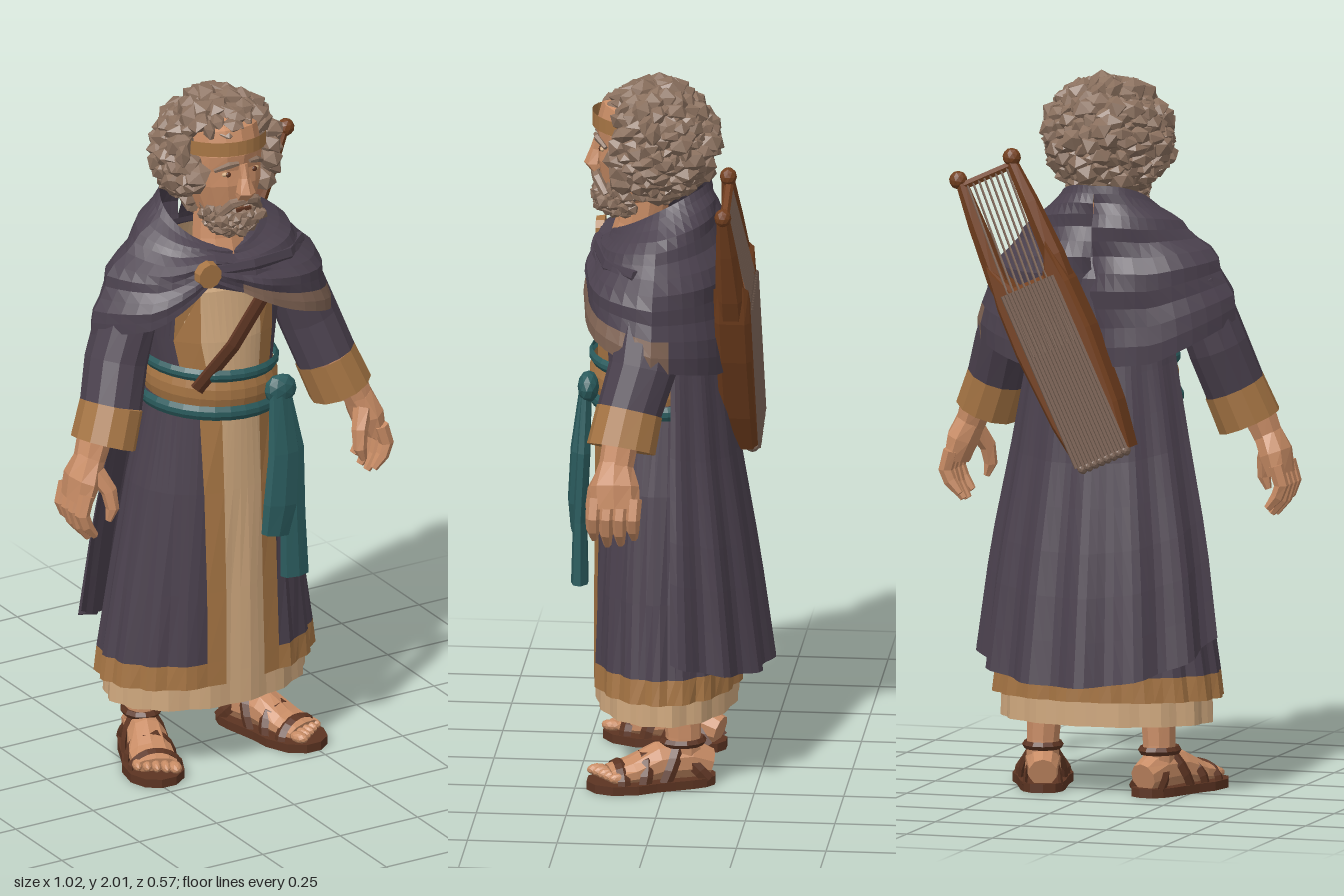
import * as THREE from 'three';
import { mergeGeometries } from 'three/addons/utils/BufferGeometryUtils.js';

const mat = (name, color) => {
  const m = new THREE.MeshStandardMaterial({ color, flatShading: true, side: THREE.DoubleSide });
  m.name = name;
  return m;
};
const M = {
  cloak: mat('dark purple cloth', 0x4b414e), trim: mat('ochre trim', 0xa67544),
  linen: mat('cream linen', 0xcfa87e), teal: mat('teal cloth', 0x2b5c5e),
  skin: mat('skin', 0xc88c65), hair: mat('brown grey hair', 0x8a705e),
  wood: mat('lyre wood', 0x74401f), string: mat('string grey', 0x80685a),
  leather: mat('dark leather', 0x5c3422), lining: mat('lining', 0x7f6353),
};
const { sin, cos, PI, abs, asin } = Math;

// piecewise linear lookup: keys are [t, value...]; returns interpolated row
function at(keys, t) {
  let i = 0;
  while (i < keys.length - 2 && t > keys[i + 1][0]) i++;
  const a = keys[i], b = keys[i + 1];
  const f = Math.min(1, Math.max(0, (t - a[0]) / (b[0] - a[0])));
  return a.slice(1).map((v, k) => v + (b[k + 1] - v) * f);
}
// grid surface fn(i, j) -> [x, y, z]; pick(i, j) chooses a material per cell
function sheet(name, mats, nu, nv, fn, pick = () => 0) {
  mats = [].concat(mats);
  const pos = [], sets = mats.map(() => []);
  for (let j = 0; j <= nv; j++) for (let i = 0; i <= nu; i++) pos.push(...fn(i, j));
  for (let j = 0; j < nv; j++) for (let i = 0; i < nu; i++) {
    const a = j * (nu + 1) + i, b = a + nu + 1;
    sets[pick(i, j)].push(a, a + 1, b + 1, a, b + 1, b);
  }
  const g = new THREE.BufferGeometry();
  g.setAttribute('position', new THREE.Float32BufferAttribute(pos, 3));
  g.setIndex(sets.flat());
  let s = 0;
  sets.forEach((q, k) => { g.addGroup(s, q.length, k); s += q.length; });
  g.computeVertexNormals();
  const m = new THREE.Mesh(g, mats.length > 1 ? mats : mats[0]);
  m.name = name;
  return m;
}
// closed limb through points [x, y, z, sideRadius, forwardRadius]
function limb(name, m, pts, n = 8, ref = [0, 0, 1], capped = true) {
  const P = pts.map(p => new THREE.Vector3(p[0], p[1], p[2])), last = pts.length - 1;
  const rings = pts.map((p, i) => {
    const t = P[Math.min(i + 1, last)].clone().sub(P[Math.max(i - 1, 0)]).normalize();
    const f = new THREE.Vector3(...ref);
    f.addScaledVector(t, -f.dot(t)).normalize();
    return { c: P[i], f, s: t.clone().cross(f), a: p[3], b: p[4] ?? p[3] };
  });
  if (capped) { rings.unshift({ ...rings[0], a: 0, b: 0 }); rings.push({ ...rings[last + 1], a: 0, b: 0 }); }
  return sheet(name, m, n, rings.length - 1, (i, j) => {
    const r = rings[j], w = i / n * 2 * PI;
    return r.c.clone().addScaledVector(r.s, sin(w) * r.a).addScaledVector(r.f, cos(w) * r.b).toArray();
  });
}
let seed = 7;
const rnd = () => (seed = (seed * 16807) % 2147483647) / 2147483647;
// cluster of faceted curls on an ellipsoid
function curls(name, count, c, r, size, keep) {
  const list = [];
  for (let i = 0; i < count; i++) {
    const y = 1 - 2 * (i + 0.5) / count, q = Math.sqrt(1 - y * y), a = i * 2.39996, k = 0.94 + rnd() * 0.12;
    const p = [c[0] + k * r[0] * q * sin(a), c[1] + k * r[1] * y, c[2] + k * r[2] * q * cos(a)];
    if (!keep(...p)) continue;
    const s = size * (0.75 + rnd() * 0.5), g = new THREE.IcosahedronGeometry(s, 0);
    g.scale(1.1, 0.5 + rnd() * 0.4, 0.9).rotateX(rnd() * 6).rotateY(rnd() * 6).translate(...p);
    list.push(g);
  }
  const m = new THREE.Mesh(mergeGeometries(list), M.hair);
  m.name = name;
  return m;
}
function solid(name, g, m, x, y, z, sx = 1, sy = 1, sz = 1) {
  const o = new THREE.Mesh(g, m);
  o.name = name; o.position.set(x, y, z); o.scale.set(sx, sy, sz);
  return o;
}
const ball = new THREE.IcosahedronGeometry(1, 1), box = new THREE.BoxGeometry(1, 1, 1);

// robe rows: y, centre z, half width, half depth, opening on -x, opening on +x
const ROWS = [[0.27, 0.015, 0.315, 0.205, 0.05, 0.075], [0.34, 0.015, 0.308, 0.205, 0.05, 0.075],
  [0.55, 0.02, 0.28, 0.2, 0.05, 0.07], [0.85, 0.03, 0.235, 0.19, 0.055, 0.065],
  [1.08, 0.04, 0.185, 0.18, 0.06, 0.06], [1.16, 0.04, 0.17, 0.175, 0.085, 0.06],
  [1.3, 0.035, 0.19, 0.18, 0.11, 0.07], [1.45, 0.03, 0.22, 0.17, 0.11, 0.07],
  [1.54, 0.03, 0.18, 0.13, 0.09, 0.065]];

function clothes(g) {
  const n = 58;
  g.add(sheet('robe', [M.cloak, M.trim], n, ROWS.length - 1, (i, j) => {
    const [y, cz, rx, rz, gn, gp] = ROWS[j];
    const a0 = asin((gp + 0.055) / rx), a1 = 2 * PI - asin((gn + 0.055) / rx);
    const a = i === 0 ? asin(gp / rx) : i === n ? 2 * PI - asin(gn / rx) : a0 + (a1 - a0) * (i - 1) / (n - 2);
    const k = 1 + (i > 1 && i < n - 1 ? 0.085 * abs(sin(a * 9 + j * 0.15)) * Math.max(0.15, 1 - y) : 0);
    return [rx * k * sin(a), y, cz + rz * k * cos(a)];
  }, (i, j) => (i === 0 || i === n - 1 || j === 0 ? 1 : 0)));
  // inner tunic with pleated hem
  const ys = [0.2, 0.3, 0.55, 0.85, 1.08, 1.16, 1.3, 1.45, 1.54];
  g.add(sheet('tunic', M.linen, 60, ys.length - 1, (i, j) => {
    const [cz, rx, rz] = at(ROWS, ys[j]), a = i / 60 * 2 * PI;
    const k = 0.955 + (j < 3 ? 0.02 * sin(a * 15) : 0);
    return [rx * k * sin(a), ys[j], cz + rz * k * cos(a)];
  }));
  // sash and belt bands
  for (const [name, m, y, h, r] of [['upperSash', M.teal, 1.2, 0.036, 0.011], ['belt', M.trim, 1.145, 0.085, 0.009], ['lowerSash', M.teal, 1.09, 0.042, 0.013]])
    g.add(sheet(name, m, 28, 3, (i, j) => {
      const a = i / 28 * 2 * PI, [cz, rx, rz] = at(ROWS, y), e = r + (j % 3 ? 0.008 : 0);
      return [(rx + e) * sin(a), y + (j / 3 - 0.5) * h - 0.012 * sin(a), cz + (rz + e) * cos(a)];
    }));
  g.add(solid('sashKnot', ball, M.teal, 0.12, 1.13, 0.225, 0.05, 0.045, 0.03));
  g.add(limb('longSashTail', M.teal, [[0.12, 1.13, 0.23, 0.03, 0.015], [0.155, 0.95, 0.235, 0.035, 0.02], [0.15, 0.75, 0.245, 0.04, 0.02], [0.155, 0.57, 0.245, 0.045, 0.025]], 7));
  g.add(limb('shortSashTail', M.teal, [[0.11, 1.13, 0.235, 0.03, 0.015], [0.115, 0.95, 0.255, 0.05, 0.02], [0.1, 0.8, 0.262, 0.055, 0.022], [0.085, 0.71, 0.258, 0.045, 0.02]], 7));
  g.add(limb('chestStrap', M.leather, [[-0.13, 1.17, 0.19, 0.024, 0.01], [-0.03, 1.29, 0.218, 0.024, 0.01], [0.1, 1.44, 0.2, 0.024, 0.01]], 6));

  // shoulder mantle; angle keys: lower edge height, reach
  const EDGE = [[-PI, 1.2, 0.165], [-2.3, 1.22, 0.25], [-PI / 2, 1.33, 0.37], [-1, 1.38, 0.31], [-0.45, 1.5, 0.215],
    [0, 1.45, 0.205], [0.6, 1.37, 0.25], [1.1, 1.31, 0.34], [PI / 2, 1.26, 0.385], [2.3, 1.2, 0.26], [PI, 1.2, 0.165]];
  g.add(sheet('mantle', [M.cloak, M.lining], 48, 12, (i, j) => {
    const a = -PI + i / 48 * 2 * PI, v = j / 12, [low, reach] = at(EDGE, a);
    const top = 1.635 - 0.07 * cos(a) + 0.015 * abs(sin(a)), s = Math.pow(sin(v * PI / 2), 1.15);
    const r = 0.13 + (reach - 0.13) * s + 0.011 * sin(v * 19 + 1.6 * a) * sin(v * PI);
    return [r * sin(a), top + (low - top) * (0.55 * (1 - cos(v * PI / 2)) + 0.45 * v), 0.025 + r * cos(a)];
  }, (i, j) => (j > 9 && i > 23 && i < 37 ? 1 : 0)));
  // shawl folds sweeping from the brooch to the left shoulder
  for (const d of [0, 1, 2])
    g.add(limb('shawlFold', M.cloak, [[-0.1, 1.52 - d * 0.01, 0.2, 0.02, 0.015], [0.04, 1.515 - d * 0.03, 0.205 + d * 0.004, 0.024, 0.016],
      [0.18, 1.5 - d * 0.05, 0.165 + d * 0.015, 0.026, 0.016], [0.27, 1.5 - d * 0.07, 0.08 + d * 0.02, 0.02, 0.014]], 6));
  g.add(solid('brooch', new THREE.CylinderGeometry(0.036, 0.04, 0.025, 10).rotateX(PI / 2), M.trim, -0.105, 1.52, 0.212));

  // long cape down the back: height fraction, half width, depth
  const CAPE = [[0, 0.2, 0.11], [0.25, 0.215, 0.15], [0.5, 0.265, 0.185], [0.75, 0.32, 0.235], [1, 0.355, 0.275]];
  g.add(sheet('cape', M.cloak, 36, 10, (i, j) => {
    const u = i / 36, v = j / 10, a = PI * (0.53 + 0.89 * u), [rx, rz] = at(CAPE, v);
    const low = 0.32 + (u < 0.5 ? 0.08 : 0.13) * Math.pow(2 * u - 1, 2), k = 1 + 0.045 * v * sin(u * 38);
    return [rx * k * sin(a), 1.55 + (low - 1.55) * v, rz * k * cos(a)];
  }));
}

function head(g) {
  g.add(limb('neck', M.skin, [[0, 1.5, 0.11, 0.085, 0.075], [0, 1.58, 0.09, 0.075, 0.07], [0.01, 1.73, 0.07, 0.065, 0.07]], 10));
  g.add(limb('face', M.skin, [[0.01, 1.64, 0.13, 0.05, 0.06], [0.01, 1.68, 0.11, 0.08, 0.095], [0.01, 1.75, 0.095, 0.103, 0.118],
    [0.01, 1.8, 0.09, 0.107, 0.117], [0.01, 1.84, 0.085, 0.108, 0.132], [0.01, 1.9, 0.075, 0.1, 0.125], [0.01, 1.93, 0.06, 0.06, 0.07]], 14));
  g.add(limb('nose', M.skin, [[0.01, 1.735, 0.21, 0.026, 0.02], [0.01, 1.75, 0.222, 0.028, 0.026], [0.01, 1.79, 0.212, 0.015, 0.018], [0.01, 1.83, 0.205, 0.014, 0.012]], 6));
  for (const s of [-1, 1]) {
    const x = 0.01 + s * 0.042;
    g.add(limb('eyebrow', M.hair, [[x - s * 0.024, 1.838, 0.214, 0.006], [x, 1.836, 0.208, 0.01], [x + s * 0.034, 1.815, 0.18, 0.006]], 5, [0, 1, 0]));
    g.add(solid('eyeWhite', ball, M.linen, x, 1.803, 0.192, 0.018, 0.008, 0.008));
    g.add(solid('pupil', ball, M.leather, x, 1.803, 0.198, 0.008, 0.008, 0.005));
    g.add(limb('moustache', M.hair, [[0.01, 1.724, 0.218, 0.012], [0.01 + s * 0.035, 1.716, 0.207, 0.015], [0.01 + s * 0.066, 1.675, 0.18, 0.012]], 6, [0, 1, 0]));
  }
  g.add(solid('mouth', box, M.leather, 0.01, 1.695, 0.21, 0.045, 0.009, 0.009));
  g.add(solid('beardBase', ball, M.hair, 0.01, 1.655, 0.15, 0.07, 0.05, 0.065));
  g.add(curls('beard', 110, [0.01, 1.662, 0.14], [0.072, 0.052, 0.072], 0.022, (x, y, z) => z > 0.1 && !(y > 1.686 && abs(x - 0.01) < 0.045)));
  g.add(solid('hairBase', ball, M.hair, 0.01, 1.83, 0.04, 0.145, 0.14, 0.13));
  g.add(curls('curlyHair', 260, [0.012, 1.818, 0.055], [0.155, 0.15, 0.15], 0.038,
    (x, y, z) => !(z > 0.08 && y < (z > 0.13 ? 1.908 : 1.895) && abs(x - 0.01) < 0.113) && !(y < 1.69 && z > 0.08)));
  g.add(sheet('headband', M.trim, 14, 1, (i, j) => {
    const a = -1.4 + i / 14 * 2.8;
    return [0.01 + 0.125 * sin(a), 1.848 + 0.042 * j + 0.018 * cos(a), 0.075 + 0.15 * cos(a)];
  }));
}

function arm(g, s) {
  const L = (name, m, pts, ...r) => g.add(limb(name, m, pts.map(([x, ...q]) => [s * x, ...q]), ...r));
  L('sleeve', M.cloak, [[0.17, 1.52, 0.03, 0.05, 0.07], [0.25, 1.42, 0.035, 0.08, 0.1], [0.31, 1.25, 0.055, 0.086, 0.095], [0.348, 1.13, 0.09, 0.086, 0.09]], 12, [0, 0, 1], false);
  L('cuff', M.trim, [[0.345, 1.135, 0.088, 0.088, 0.093], [0.383, 1.035, 0.108, 0.091, 0.097], [0.375, 1.058, 0.1, 0.055, 0.06]], 12, [0, 0, 1], false);
  L('forearm', M.skin, [[0.36, 1.15, 0.08, 0.05], [0.41, 1.06, 0.108, 0.05], [0.437, 0.99, 0.118, 0.042, 0.048]], 8);
  L('palm', M.skin, [[0.43, 1.01, 0.118, 0.042, 0.046], [0.457, 0.95, 0.118, 0.046, 0.068], [0.474, 0.89, 0.115, 0.034, 0.068]], 8);
  for (let k = 0; k < 4; k++) {
    const z = 0.062 + k * 0.037, d = 0.018 * abs(k - 1.6);
    L('finger', M.skin, [[0.475, 0.92, z, 0.022], [0.491, 0.865, z + 0.003, 0.021], [0.478, 0.815 + d * 0.6, z + 0.004, 0.019], [0.45, 0.77 + d, z + 0.003, 0.011]], 6);
  }
  L('thumb', M.skin, [[0.43, 0.97, 0.15, 0.027], [0.405, 0.92, 0.177, 0.023], [0.4, 0.87, 0.187, 0.019], [0.412, 0.835, 0.187, 0.009]], 6);
}

function leg(g, s) {
  g.add(limb('lowerLeg', M.skin, [[s * 0.17, 0.06, -0.045, 0.045, 0.055], [s * 0.17, 0.14, -0.045, 0.045, 0.05], [s * 0.165, 0.25, -0.04, 0.05, 0.055], [s * 0.155, 0.45, -0.03, 0.06]], 9));
  const f = new THREE.Group();
  f.name = 'foot';
  f.position.set(s * 0.172, 0, -0.04);
  f.rotation.y = s * 0.32;
  f.scale.z = 1.08;
  const up = [0, 1, 0];
  f.add(limb('footBody', M.skin, [[0, 0.055, -0.075, 0.04, 0.04], [0, 0.07, -0.02, 0.048, 0.06], [0, 0.07, 0.06, 0.055, 0.055], [s * 0.003, 0.05, 0.13, 0.064, 0.036], [s * 0.003, 0.042, 0.19, 0.064, 0.022]], 10, up));
  for (let k = 0; k < 5; k++)
    f.add(solid('toe', ball, M.skin, s * (-0.046 + k * 0.025), 0.042, 0.212 - k * 0.009, k ? 0.014 : 0.019, 0.016, 0.028));
  const sole = new THREE.Shape();
  sole.moveTo(0, 0.09);
  sole.bezierCurveTo(0.09, 0.09, 0.05, -0.03, 0.085, -0.13);
  sole.bezierCurveTo(0.1, -0.29, -0.1, -0.29, -0.085, -0.13);
  sole.bezierCurveTo(-0.05, -0.03, -0.09, 0.09, 0, 0.09);
  f.add(solid('sole', new THREE.ExtrudeGeometry(sole, { depth: 0.025, bevelEnabled: false, curveSegments: 6 }).rotateX(-PI / 2), M.leather, 0, 0, 0));
  // arched straps: z, half width, height, lean
  for (const [z, w, h, lean] of [[0.165, 0.071, 0.055, 0], [0.11, 0.068, 0.078, -0.2], [0.055, 0.062, 0.115, -0.4], [-0.06, 0.05, 0.1, 0.7]]) {
    const b = solid('strap', new THREE.TorusGeometry(1, 0.13, 4, 10, PI).scale(w, h, 0.13), M.leather, 0, 0.02, z);
    b.rotation.x = lean;
    f.add(b);
  }
  f.add(solid('ankleStrap', new THREE.TorusGeometry(0.048, 0.01, 5, 12).rotateX(PI / 2), M.leather, 0, 0.125, -0.003, 1, 1.2, 1.08));
  g.add(f);
}

function lyre() {
  const g = new THREE.Group();
  g.name = 'lyre';
  g.position.set(0.115, 1.355, -0.185);
  g.rotation.z = -0.43;
  // flat-sided sound box
  const half = [[0.075, -0.425], [0.095, -0.3], [0.108, -0.08], [0.105, 0.06], [0.092, 0.17], [0.055, 0.09]];
  const outline = new THREE.Shape([...half, ...half.map(([x, y]) => [-x, y]).reverse()].map(p => new THREE.Vector2(...p)));
  g.add(solid('soundBox', new THREE.ExtrudeGeometry(outline, { depth: 0.07, bevelThickness: 0.014, bevelSize: 0.01, bevelSegments: 1 }), M.wood, 0, 0, -0.037));
  for (const s of [-1, 1]) {
    g.add(limb('lyreArm', M.wood, [[s * 0.085, 0.02, 0, 0.03, 0.045], [s * 0.09, 0.14, 0, 0.03, 0.043], [s * 0.086, 0.3, 0.005, 0.024, 0.03], [s * 0.08, 0.43, 0.01, 0.016, 0.018]], 6));
    g.add(solid('armKnob', ball, M.wood, s * 0.086, 0.435, 0.01, 0.026, 0.026, 0.024));
  }
  g.add(solid('crossbar', new THREE.CylinderGeometry(0.013, 0.013, 0.17, 6).rotateZ(PI / 2), M.wood, 0, 0.415, 0.008));
  for (let k = 0; k < 8; k++) {
    const x = -0.063 + k * 0.018;
    g.add(limb('string', M.string, [[x, 0.415, 0, 0.0035], [x, 0.1, -0.05, 0.0035], [x, -0.1, -0.058, 0.0035]], 4));
    g.add(solid('stringPeg', ball, M.string, x * 1.1, -0.435, -0.035, 0.014, 0.018, 0.02));
  }
  // ridged band of strings over the back of the sound box
  g.add(sheet('stringBand', M.string, 32, 4, (i, j) =>
    [(0.5 - i / 32) * 0.17, -0.43 + j * 0.13, -0.053 - (i % 2) * 0.008]));
  return g;
}

export function createModel() {
  const g = new THREE.Group();
  g.name = 'robedMusician';
  clothes(g);
  head(g);
  for (const s of [-1, 1]) { arm(g, s); leg(g, s); }
  g.add(lyre());
  return g;
}
